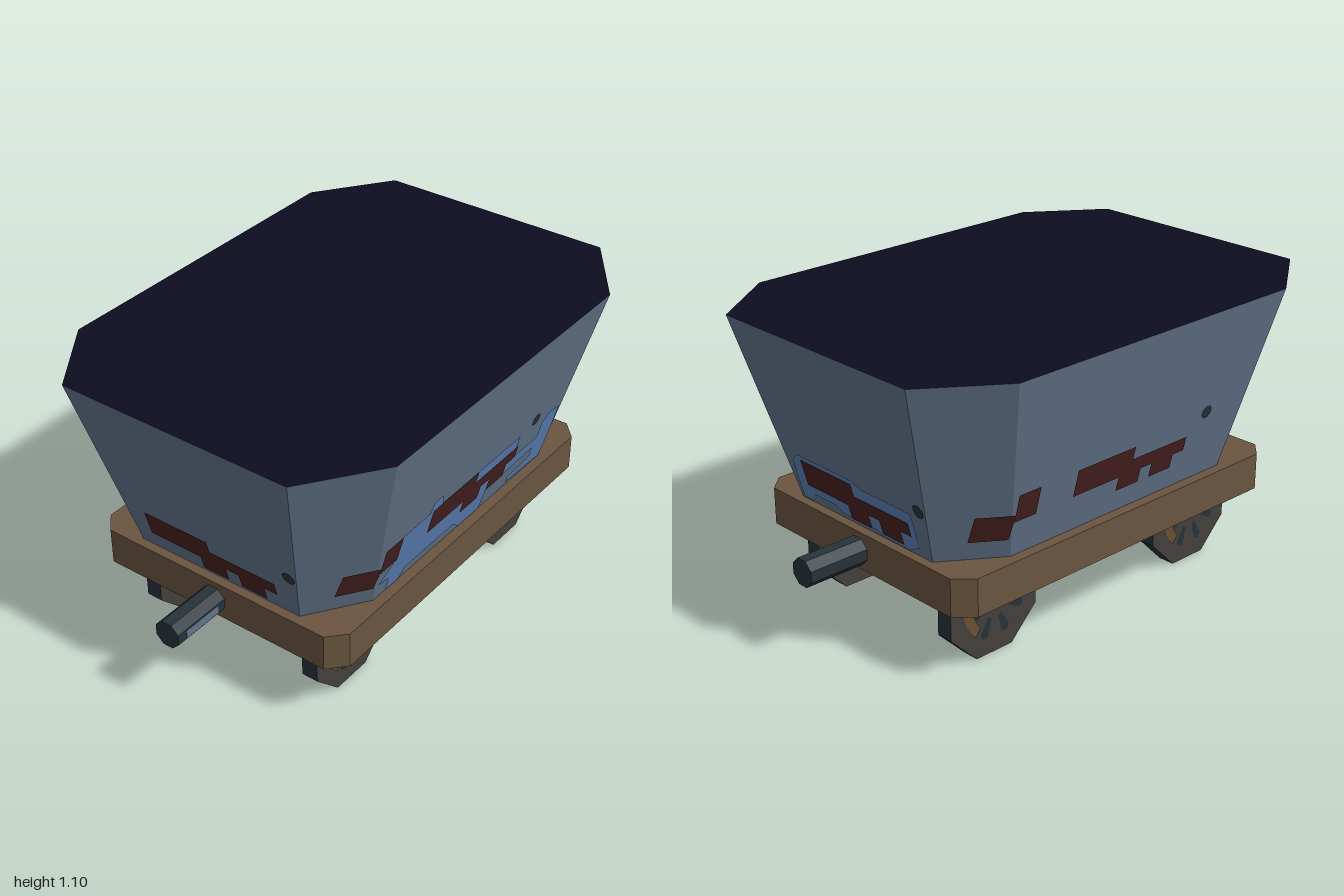
import * as THREE from 'three';

const mat = (name, color) => {
  const m = new THREE.MeshStandardMaterial({ color });
  m.name = name;
  return m;
};

// Octagonal outline in x/z: half sizes hx, hz with corners cut back to cx, cz
const ring = (hx, hz, cx, cz) => [
  [hx, cz], [cx, hz], [-cx, hz], [-hx, cz], [-hx, -cz], [-cx, -hz], [cx, -hz], [hx, -cz],
];

// Faceted solid between two rings; groups: 0 sides, 1 top, 2 bottom
function loft(low, high, y0, y1) {
  const sides = [], top = [], bottom = [];
  low.forEach((p, i) => {
    const j = (i + 1) % low.length;
    const a = [low[i][0], y0, low[i][1]], b = [low[j][0], y0, low[j][1]];
    const c = [high[i][0], y1, high[i][1]], d = [high[j][0], y1, high[j][1]];
    sides.push(...a, ...c, ...b, ...b, ...c, ...d);
    top.push(0, y1, 0, ...d, ...c);
    bottom.push(0, y0, 0, ...a, ...b);
  });
  const geo = new THREE.BufferGeometry();
  geo.setAttribute('position', new THREE.Float32BufferAttribute([...sides, ...top, ...bottom], 3));
  let start = 0;
  [sides, top, bottom].forEach((part, k) => {
    geo.addGroup(start, part.length / 3, k);
    start += part.length / 3;
  });
  geo.computeVertexNormals();
  return geo;
}

const shapeOf = pts => new THREE.Shape(pts.map(p => new THREE.Vector2(...p)));
const rect = (r0, r1, y0, y1) => [[r0, y0], [r1, y0], [r1, y1], [r0, y1]];
const dot = (r, y, rad) => Array.from({ length: 8 }, (_, i) => {
  const a = (i + 0.5) * Math.PI / 4;
  return [r + rad * Math.cos(a), y + rad * Math.sin(a)];
});

export function createModel() {
  const model = new THREE.Group();
  const steel = mat('steel', 0x62748a);
  const blue = mat('old blue paint', 0x5c80b4);
  const rust = mat('rust', 0x46201f);
  const wood = mat('wood', 0x6a553f);
  const under = mat('dark underside', 0x1f1f1f);
  const iron = mat('dark iron', 0x27323a);
  const wheelGrey = mat('wheel grey', 0x433f3b);
  const worn = mat('worn brown', 0x6a4f35);
  const load = mat('dark load', 0x0d0d20);

  const add = (parent, name, geo, material) => {
    const mesh = new THREE.Mesh(geo, material);
    mesh.name = name;
    parent.add(mesh);
    return mesh;
  };

  // Tub and deck
  const y0 = 0.41, y1 = 1.1;
  const low = ring(0.49, 0.73, 0.345, 0.52), high = ring(0.66, 0.92, 0.46, 0.64);
  add(model, 'tub', loft(low, high, y0, y1), [steel, load, under]);
  const deckRing = ring(0.53, 0.765, 0.47, 0.7);
  add(model, 'deck', loft(deckRing, deckRing, 0.27, y0), [wood, wood, under]);

  // Lays an outline (r to the viewer's right, y up) on tub wall i.
  // Walls run from the +x+z corner (0) over the front (1) to the +x side (7).
  function patch(name, i, material, pts, lift) {
    const j = (i + 1) % 8;
    const a = new THREE.Vector3(low[i][0], y0, low[i][1]);
    const b = new THREE.Vector3(low[j][0], y0, low[j][1]);
    const c = new THREE.Vector3((high[i][0] + high[j][0]) / 2, y1, (high[i][1] + high[j][1]) / 2);
    const n = c.clone().sub(a).cross(b.clone().sub(a)).normalize();
    const d = n.dot(a) + lift;
    const geo = new THREE.ShapeGeometry(shapeOf(pts));
    const pos = geo.attributes.position;
    for (let k = 0; k < pos.count; k++) {
      const r = pos.getX(k), y = pos.getY(k);
      if (i === 1 || i === 5) {
        const x = i === 1 ? r : -r;
        pos.setXYZ(k, x, y, (d - n.x * x - n.y * y) / n.z);
      } else {
        const z = n.x > 0 ? -r : r;
        pos.setXYZ(k, (d - n.z * z - n.y * y) / n.x, y, z);
      }
    }
    geo.computeVertexNormals();
    add(model, name, geo, material);
  }

  // Rust and dents, alike on opposite walls
  const stain = up => [
    [-0.275, 0.59], [-0.275, 0.485], [-0.055, 0.485], [-0.055, 0.43], [0.055, 0.43],
    [0.055, 0.485], [0.11, 0.485], [0.11, 0.43], [0.22, 0.43], [0.22, 0.485],
    [0.275, 0.485], [0.275, 0.54], [0, 0.54], [0, 0.59],
  ].map(([r, y]) => [r, y + up]);
  for (const i of [1, 5]) {
    patch('endRust', i, rust, stain(0), 0.006);
    patch('endDent', i, iron, dot(0.353, 0.615, 0.027), 0.006);
  }
  for (const i of [3, 7]) {
    patch('sideRust', i, rust, stain(0.073), 0.006);
    patch('sideRustEdge', i, rust, rect(-0.542, -0.445, 0.555, 0.66), 0.006);
    patch('sideDent', i, iron, dot(0.355, 0.69, 0.026), 0.006);
  }
  for (const i of [0, 4]) patch('cornerRust', i, rust, rect(-0.655, -0.545, 0.485, 0.585), 0.006);
  for (const i of [2, 6]) {
    patch('cornerRust', i, rust,
      [[0.53, 0.43], [0.59, 0.43], [0.59, 0.475], [0.64, 0.475], [0.64, 0.53], [0.542, 0.53]], 0.006);
    patch('cornerDent', i, iron, dot(0.725, 0.61, 0.024), 0.006);
  }

  // Remains of blue paint on the left side, the back and the corner between
  patch('sidePaint', 7, blue, [
    [-0.46, 0.415], [-0.46, 0.475], [-0.52, 0.485], [-0.445, 0.56], [-0.445, 0.655], [-0.29, 0.66],
    [-0.28, 0.705], [-0.23, 0.705], [-0.215, 0.66], [0.27, 0.66], [0.27, 0.56], [0.43, 0.56],
    [0.43, 0.63], [0.47, 0.66], [0.54, 0.645], [0.53, 0.51], [0.515, 0.415], [0.28, 0.43],
    [0.28, 0.455], [0.42, 0.47], [0.42, 0.51], [0.12, 0.5], [0.11, 0.415], [-0.02, 0.415],
    [-0.07, 0.455], [-0.36, 0.455], [-0.38, 0.415],
  ], 0.003);
  patch('cornerPaint', 6, blue,
    [[0.525, 0.415], [0.63, 0.415], [0.65, 0.45], [0.645, 0.585], [0.555, 0.6]], 0.003);
  patch('backPaint', 5, blue, [
    [-0.33, 0.415], [-0.33, 0.57], [-0.29, 0.605], [0, 0.605], [0.05, 0.585], [0.3, 0.585],
    [0.3, 0.45], [0.24, 0.415], [0.1, 0.415], [0.08, 0.43], [-0.1, 0.43], [-0.14, 0.45],
    [-0.26, 0.45], [-0.28, 0.415],
  ], 0.003);

  // Couplers with a bare metal streak
  for (const s of [1, -1]) {
    const geo = new THREE.CylinderGeometry(0.053, 0.053, 0.25, 8).toNonIndexed();
    geo.rotateY(Math.PI / 8).rotateX(Math.PI / 2);
    geo.computeVertexNormals();
    add(model, 'coupler', geo, iron).position.set(0, 0.338, s * 0.875);
    const streak = add(model, 'couplerStreak', new THREE.BoxGeometry(0.006, 0.03, 0.16), steel);
    streak.position.set(0.048, 0.338, s * 0.88);
  }

  // Wheels: octagonal discs with painted slots and hub on both faces
  const slot = shapeOf([[0.06, -0.009], [0.13, -0.018], [0.14, 0], [0.13, 0.018], [0.06, 0.009]]);
  function wheel() {
    const g = new THREE.Group();
    g.name = 'wheel';
    const disc = new THREE.CylinderGeometry(0.211, 0.211, 0.064, 8).toNonIndexed();
    disc.rotateY(Math.PI / 8).rotateZ(-Math.PI / 2);
    disc.computeVertexNormals();
    add(g, 'wheelDisc', disc, [iron, wheelGrey, wheelGrey]);
    for (const s of [1, -1]) {
      const face = new THREE.Group();
      face.name = 'wheelFace';
      face.rotation.y = s * Math.PI / 2;
      face.position.x = s * 0.035;
      for (let k = 0; k < 8; k++) {
        add(face, 'wheelSlot', new THREE.ShapeGeometry(slot), iron).rotation.z = (k + 0.5) * Math.PI / 4;
      }
      add(face, 'wornArc', new THREE.RingGeometry(0.1, 0.14, 6, 1, Math.PI * 0.93, Math.PI * 0.35), worn)
        .position.z = 0.001;
      add(face, 'hub', new THREE.CircleGeometry(0.04, 5), steel).position.z = 0.002;
      g.add(face);
    }
    return g;
  }
  for (const x of [-0.353, 0.353]) {
    for (const z of [-0.497, 0.497]) {
      const w = wheel();
      w.position.set(x, 0.195, z);
      model.add(w);
    }
  }
  return model;
}
